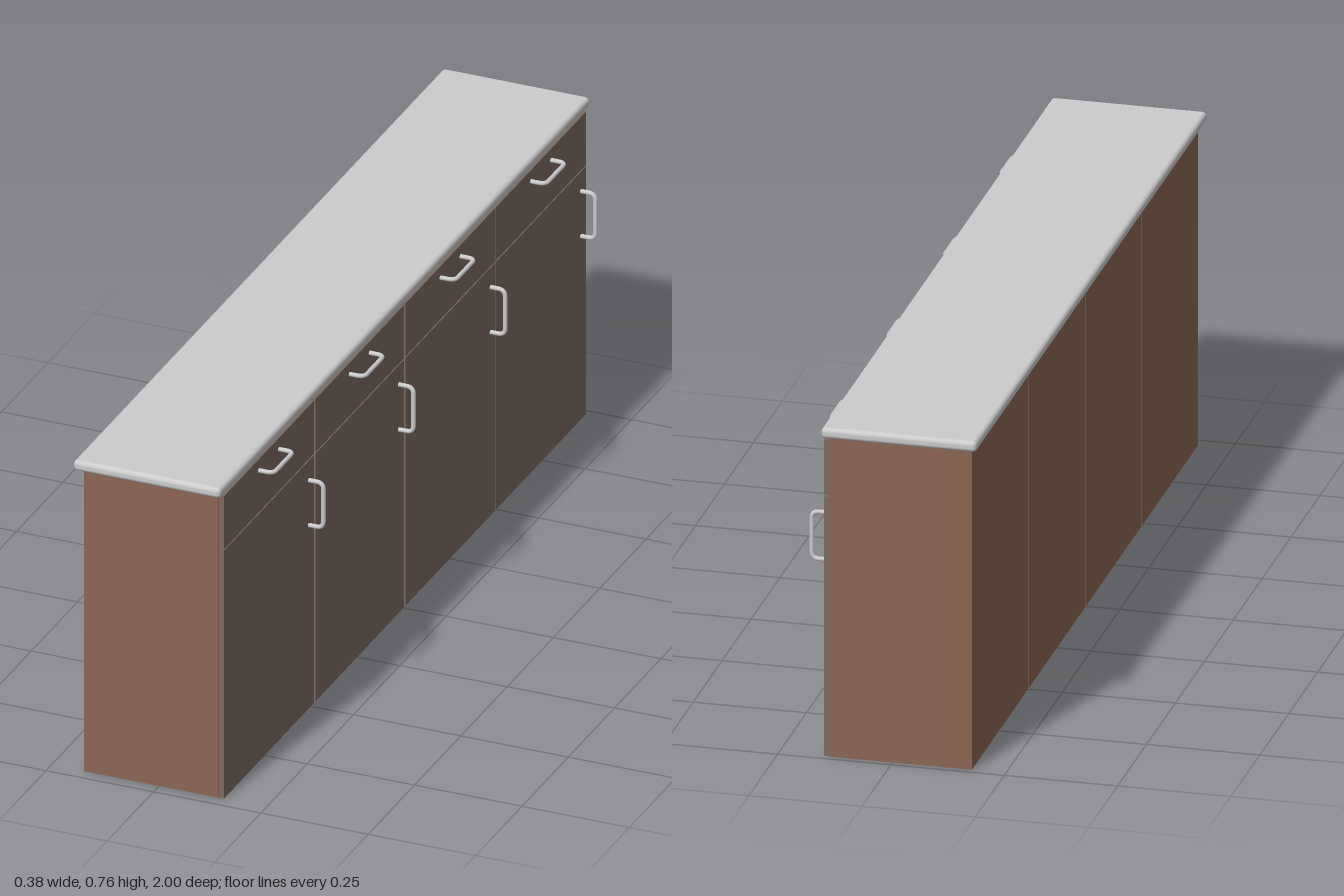
import * as THREE from 'three';
import { RoundedBoxGeometry } from 'three/addons/geometries/RoundedBoxGeometry.js';

const wood = new THREE.MeshStandardMaterial({ color: 0x8c6654 });
const frontWood = new THREE.MeshStandardMaterial({ color: 0x7d6b62 });
const grey = new THREE.MeshStandardMaterial({ color: 0xcccccc });

// Box given by its minimum and maximum corners
function box(name, material, [x0, y0, z0], [x1, y1, z1]) {
  const mesh = new THREE.Mesh(new THREE.BoxGeometry(x1 - x0, y1 - y0, z1 - z0), material);
  mesh.position.set((x0 + x1) / 2, (y0 + y1) / 2, (z0 + z1) / 2);
  mesh.name = name;
  return mesh;
}

// Bow handle: two arms and a grip along y, joined by rounded bends
function handleGeometry() {
  const half = 0.054, reach = 0.034, bend = 0.016;
  const p = (x, y) => new THREE.Vector3(x, y, 0);
  const path = new THREE.CurvePath();
  path.add(new THREE.LineCurve3(p(-0.002, -half), p(reach - bend, -half)));
  path.add(new THREE.QuadraticBezierCurve3(p(reach - bend, -half), p(reach, -half), p(reach, -half + bend)));
  path.add(new THREE.LineCurve3(p(reach, -half + bend), p(reach, half - bend)));
  path.add(new THREE.QuadraticBezierCurve3(p(reach, half - bend), p(reach, half), p(reach - bend, half)));
  path.add(new THREE.LineCurve3(p(reach - bend, half), p(-0.002, half)));
  return new THREE.TubeGeometry(path, 64, 0.005, 12);
}

export function createModel() {
  const model = new THREE.Group();
  model.name = 'baseCabinets';

  const backX = -0.175, bodyX = 0.139, faceX = 0.151;
  const handle = handleGeometry();

  // Four units; the first two leave a narrow gap to the next
  const edges = [[0.483, 0.97], [-0.003, 0.477], [-0.498, -0.009], [-0.986, -0.499]];
  edges.forEach(([z0, z1]) => {
    const unit = new THREE.Group();
    unit.name = 'cabinetUnit';
    unit.add(box('carcass', wood, [backX, 0, z0], [bodyX, 0.734, z1]));
    unit.add(box('door', frontWood, [bodyX + 0.0005, 0, z0 + 0.001], [faceX, 0.596, z1 - 0.001]));
    unit.add(box('drawerFront', frontWood, [bodyX + 0.0005, 0.599, z0 + 0.001], [faceX, 0.727, z1 - 0.001]));

    const doorHandle = new THREE.Mesh(handle, grey);
    doorHandle.name = 'doorHandle';
    doorHandle.position.set(faceX, 0.495, z0 + 0.028);

    const drawerHandle = new THREE.Mesh(handle, grey);
    drawerHandle.name = 'drawerHandle';
    drawerHandle.rotation.x = Math.PI / 2;
    drawerHandle.position.set(faceX, 0.7, (z0 + z1) / 2);

    unit.add(doorHandle, drawerHandle);
    model.add(unit);
  });

  // Countertop with rounded edges
  const top = new THREE.Mesh(new RoundedBoxGeometry(0.343, 0.025, 2, 5, 0.01), grey);
  top.name = 'countertop';
  top.position.set(-0.0165, 0.7455, 0);
  model.add(top);

  return model;
}
